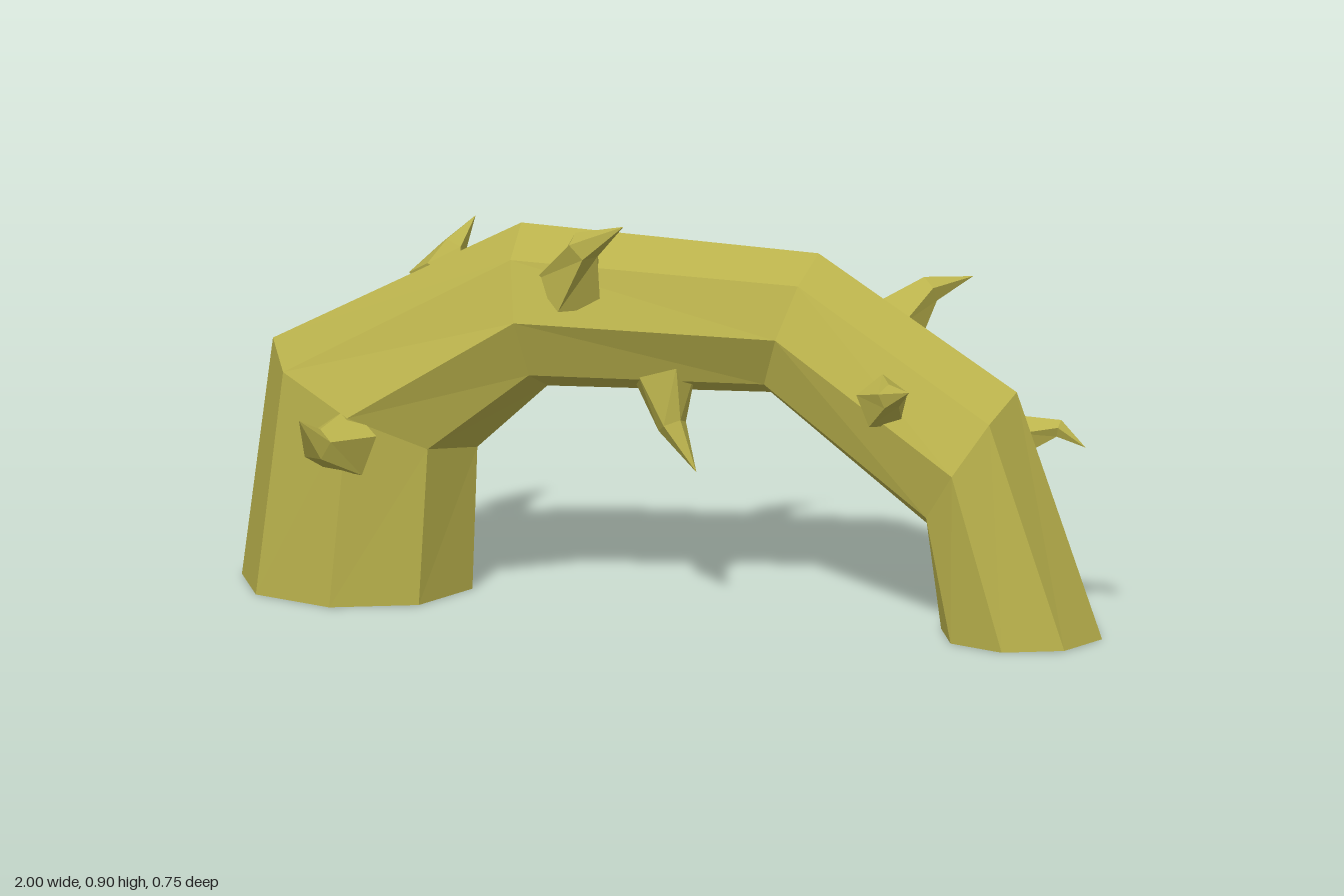
import * as THREE from 'three';

const V = (x, y, z) => new THREE.Vector3(x, y, z);

// Closed cross-section: c + u cos + v sin, counter-clockwise about the direction of travel
function ring(c, u, v, sides) {
  return Array.from({ length: sides }, (_, j) => {
    const a = (j / sides) * Math.PI * 2;
    return c.clone().addScaledVector(u, Math.cos(a)).addScaledVector(v, Math.sin(a));
  });
}

// Faceted skin through a series of cross-sections, open at both ends
function loft(rings) {
  const pts = [];
  for (let i = 0; i < rings.length - 1; i++) {
    const n = rings[i].length;
    for (let j = 0; j < n; j++) {
      const k = (j + 1) % n;
      const a = rings[i][j], b = rings[i][k], c = rings[i + 1][j], d = rings[i + 1][k];
      pts.push(a, b, d);
      if (!c.equals(d)) pts.push(a, d, c);
    }
  }
  const geo = new THREE.BufferGeometry().setFromPoints(pts);
  geo.computeVertexNormals();
  return geo;
}

// Hooked thorn: wide base, narrow middle, pointed tip
function thornGeometry(base, mid, tip, r) {
  const sides = 5;
  const section = (c, dir, radius) => {
    const w = dir.clone().normalize();
    const u = V(0, 1, 0).addScaledVector(w, -w.y);
    if (u.length() < 0.2) u.set(1, 0, 0).addScaledVector(w, -w.x);
    u.normalize();
    const v = w.clone().cross(u);
    return ring(c, u.multiplyScalar(radius), v.multiplyScalar(radius), sides);
  };
  const first = mid.clone().sub(base);
  const root = base.clone().addScaledVector(first.clone().normalize(), -0.02);
  return loft([
    section(root, first, r),
    section(mid, tip.clone().sub(base), r * 0.45),
    section(tip, tip.clone().sub(mid), 0),
  ]);
}

export function createModel() {
  const group = new THREE.Group();
  group.name = 'thornyArch';
  const vine = new THREE.MeshStandardMaterial({ color: 0xbab24c, flatShading: true, side: THREE.DoubleSide });
  vine.name = 'oliveVine';

  const add = (name, geo) => {
    const mesh = new THREE.Mesh(geo, vine);
    mesh.name = name;
    group.add(mesh);
  };

  // Arched stem: outer x, y, inner x, y, centre z, half depth
  const stations = [
    [-1, 0, -0.47, 0, -0.02, 0.245],
    [-0.93, 0.545, -0.46, 0.325, -0.025, 0.245],
    [-0.355, 0.85, -0.295, 0.48, -0.01, 0.183],
    [0.3, 0.795, 0.19, 0.47, -0.118, 0.17],
    [0.8, 0.55, 0.595, 0.235, 0.05, 0.18],
    [1, 0, 0.63, 0, 0.065, 0.175],
  ];
  add('archStem', loft(stations.map(([ox, oy, ix, iy, z, r]) =>
    ring(V((ox + ix) / 2, (oy + iy) / 2, z), V((ox - ix) / 2, (oy - iy) / 2, 0), V(0, 0, r), 8))));

  // Thorns: base, middle, tip, base radius
  const thorns = {
    crownThorn: [V(-0.21, 0.75, 0.09), V(-0.17, 0.845, 0.15), V(-0.07, 0.905, 0.18), 0.085],
    underThorn: [V(-0.02, 0.51, 0.01), V(0.005, 0.42, 0.04), V(0.07, 0.325, 0.075), 0.075],
    frontRightThorn: [V(-0.71, 0.375, 0.21), V(-0.745, 0.39, 0.3), V(-0.765, 0.463, 0.375), 0.082],
    frontLeftThorn: [V(0.525, 0.535, 0.15), V(0.55, 0.56, 0.205), V(0.61, 0.59, 0.27), 0.065],
    shoulderThorn: [V(0.49, 0.66, -0.13), V(0.54, 0.715, -0.175), V(0.625, 0.735, -0.235), 0.07],
    sideThorn: [V(0.825, 0.445, 0), V(0.885, 0.46, 0), V(0.945, 0.42, 0), 0.045],
    backThorn: [V(-0.01, 0.69, -0.22), V(0.01, 0.71, -0.3), V(0.09, 0.7, -0.38), 0.065],
    backRightThorn: [V(-0.585, 0.675, -0.18), V(-0.57, 0.725, -0.235), V(-0.53, 0.79, -0.275), 0.068],
  };
  for (const [name, t] of Object.entries(thorns)) add(name, thornGeometry(...t));

  return group;
}
